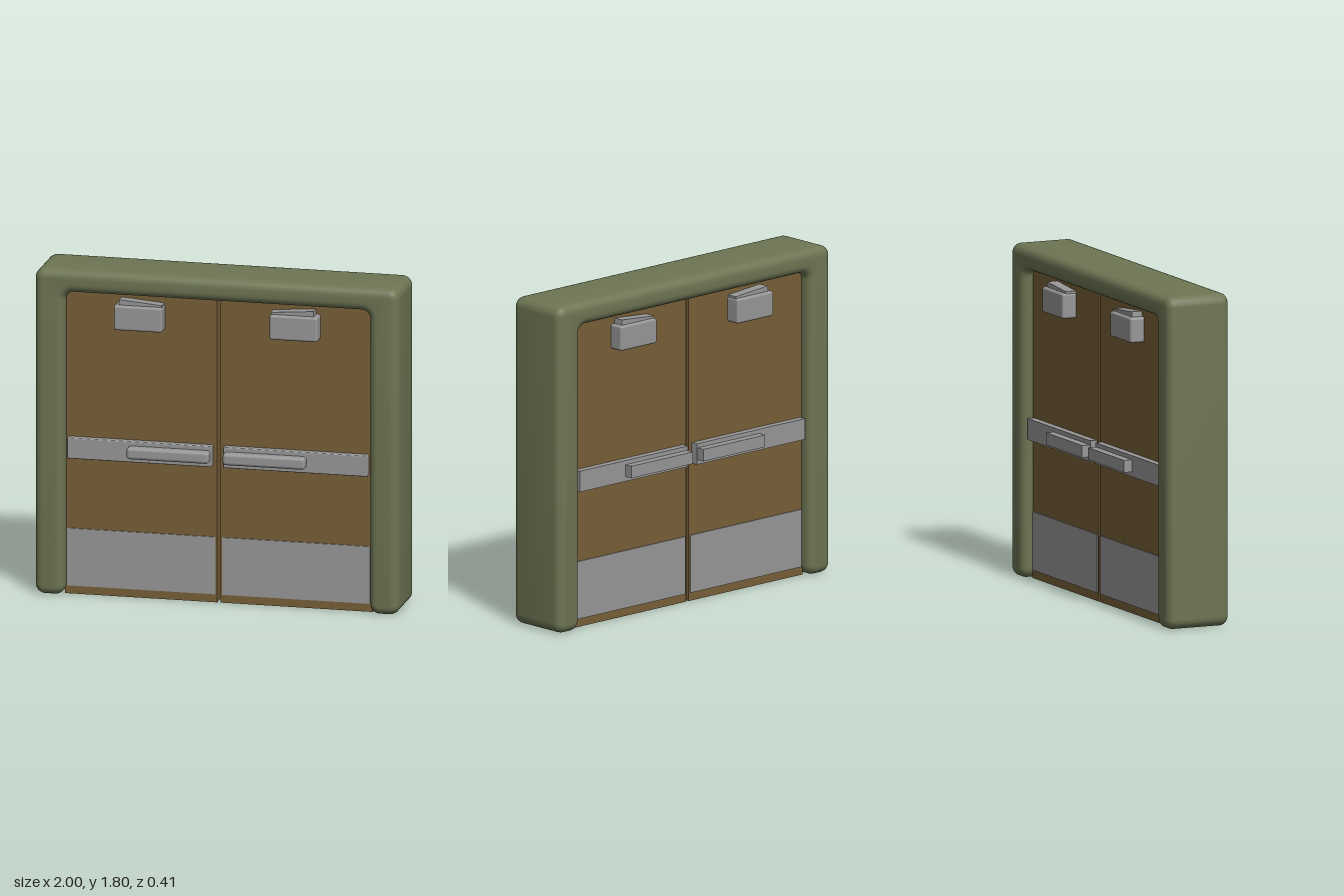
import * as THREE from 'three';
import { toCreasedNormals } from 'three/addons/utils/BufferGeometryUtils.js';
import { RoundedBoxGeometry } from 'three/addons/geometries/RoundedBoxGeometry.js';

const green = new THREE.MeshStandardMaterial({ color: 0x6e7654 });
const brown = new THREE.MeshStandardMaterial({ color: 0x775f38 });
const grey = new THREE.MeshStandardMaterial({ color: 0x979797 });

// Box given by its min and max corners, optionally with rounded edges
function block(name, material, min, max, radius = 0) {
  const size = max.map((v, i) => v - min[i]);
  const geometry = radius
    ? new RoundedBoxGeometry(...size, 3, radius)
    : new THREE.BoxGeometry(...size);
  const mesh = new THREE.Mesh(geometry, material);
  mesh.name = name;
  mesh.position.set(...max.map((v, i) => (v + min[i]) / 2));
  return mesh;
}

// Upside-down U with soft edges: a slim core outline grown by the bevel
function doorFrame() {
  const bevel = 0.045, r = 0.01, R = 0.09;
  const out = 1 - bevel, inn = 0.838 + bevel;
  const bottom = bevel, top = 1.802 - bevel, lintel = 1.677 + bevel;
  const q = Math.PI / 2;
  const s = new THREE.Shape();
  s.moveTo(-out + r, bottom);
  s.absarc(-inn - r, bottom + r, r, -q, 0, false);
  s.absarc(-inn + R, lintel - R, R, 2 * q, q, true);
  s.absarc(inn - R, lintel - R, R, q, 0, true);
  s.absarc(inn + r, bottom + r, r, 2 * q, 3 * q, false);
  s.absarc(out - r, bottom + r, r, -q, 0, false);
  s.absarc(out - r, top - r, r, 0, q, false);
  s.absarc(-out + r, top - r, r, q, 2 * q, false);
  s.absarc(-out + r, bottom + r, r, 2 * q, 3 * q, false);
  const depth = 0.364 - 2 * bevel;
  const geometry = new THREE.ExtrudeGeometry(s, {
    depth, bevelEnabled: true, bevelSize: bevel, bevelThickness: bevel,
    bevelSegments: 5, curveSegments: 6,
  });
  geometry.translate(0, 0, -depth / 2);
  const mesh = new THREE.Mesh(toCreasedNormals(geometry, 0.6), green);
  mesh.name = 'doorFrame';
  return mesh;
}

// Fittings on one face of one door; side is the door (+1 left), face is front (+1) or back (-1)
function fittings(side, face) {
  const g = new THREE.Group();
  g.name = (face > 0 ? 'front' : 'back') + (side > 0 ? 'Left' : 'Right') + 'Fittings';
  const soft = face > 0;
  const add = (name, x0, x1, y0, y1, z0, z1, radius) => {
    const xs = [side * x0, side * x1].sort((a, b) => a - b);
    const zs = [face * z0, face * z1].sort((a, b) => a - b);
    const mesh = block(name, grey, [xs[0], y0, zs[0]], [xs[1], y1, zs[1]], radius);
    g.add(mesh);
    return mesh;
  };
  add('kickPlate', 0.018, 0.832, 0.045, 0.362, 0.11, 0.126);
  add('pushPlate', 0.032, 0.825, 0.756, 0.871, 0.11, 0.16, soft ? 0.006 : 0);
  add('pushBar', 0.038, 0.49, 0.782, 0.848, 0.14, 0.206, soft ? 0.018 : 0);
  add('closerBox', 0.295, 0.56, 1.492, 1.629, 0.1, 0.2, 0.013);
  // Closer arm, tilted upwards away from the middle
  const arm = add('closerArm', 0.3, 0.535, 1.617, 1.649, 0.11, 0.18);
  arm.rotation.z = side * 0.08;
  return g;
}

export function createModel() {
  const model = new THREE.Group();
  model.name = 'doubleDoor';
  model.add(doorFrame());
  for (const side of [1, -1]) {
    const xs = side > 0 ? [0.009, 0.845] : [-0.845, -0.009];
    model.add(block(side > 0 ? 'leftDoor' : 'rightDoor', brown,
      [xs[0], 0, -0.12], [xs[1], 1.69, 0.12]));
    for (const face of [1, -1]) model.add(fittings(side, face));
  }
  return model;
}
